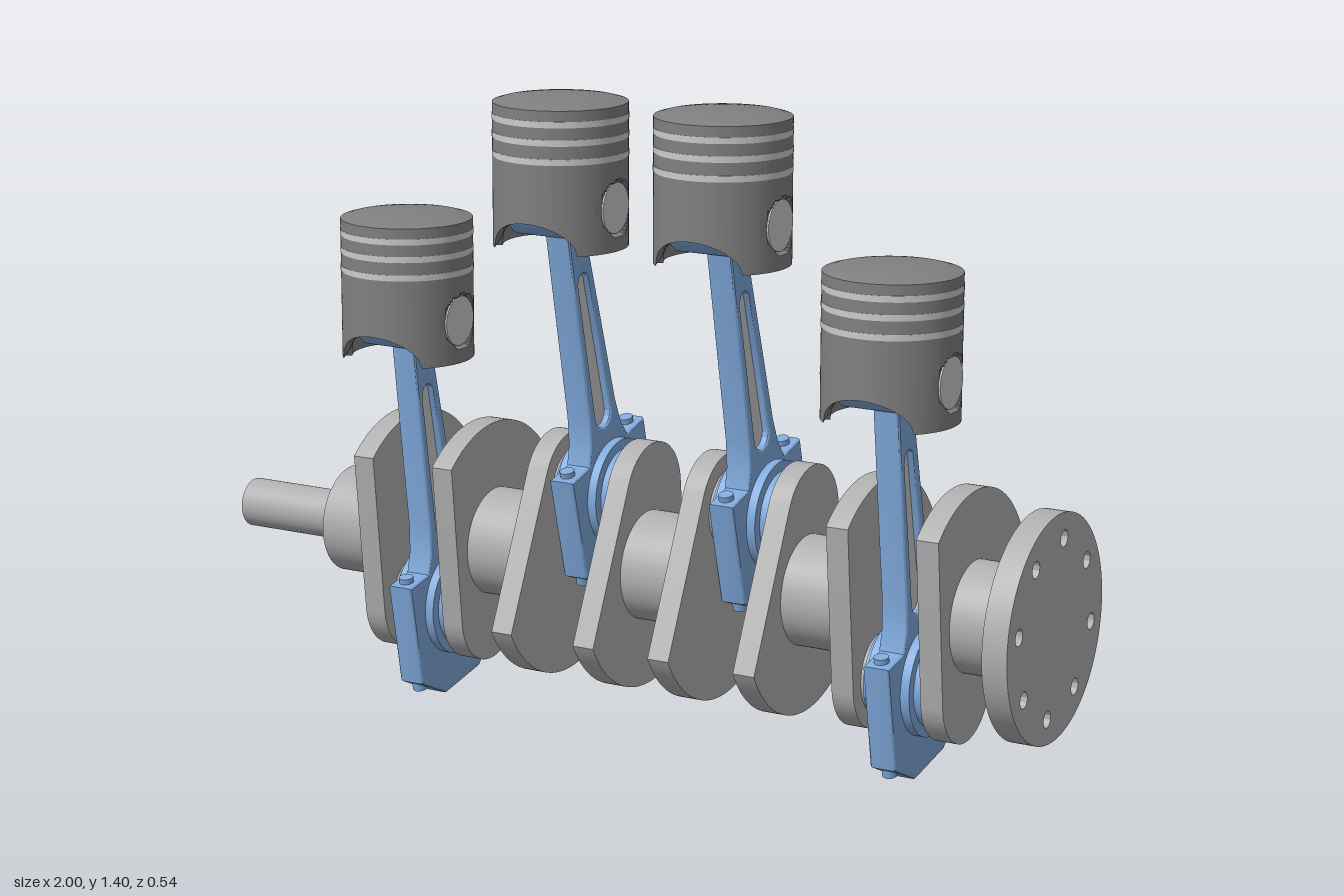
import * as THREE from 'three';
import { toCreasedNormals } from 'three/addons/utils/BufferGeometryUtils.js';

const material = (color) => new THREE.MeshStandardMaterial({ color });
const LIGHT = material(0xcccccc);
const STEEL = material(0xb0b0b0);
const DARK = material(0x808080);
const BLUE = material(0x80aadd);

const AXIS_Y = 0.36, AXIS_Z = -0.025;   // crankshaft centre line
const THROW = 0.149, TILT = 0.168;      // crank radius and its lean
const ROD = 0.686, BORE_Z = 0.125;      // rod length and piston line
const PIN_Y = 0.09;                     // wrist pin height in the piston
const CYLINDERS = [
  { x: -0.473, high: false }, { x: -0.085, high: true },
  { x: 0.302, high: true }, { x: 0.69, high: false },
];

function add(parent, name, geometry, mat, x = 0, y = 0, z = 0) {
  const mesh = new THREE.Mesh(geometry, mat);
  mesh.name = name;
  mesh.position.set(x, y, z);
  parent.add(mesh);
  return mesh;
}

// Cylinder lying along x between two positions
function bar(parent, name, r, x0, x1, mat, y = 0, z = 0) {
  const g = new THREE.CylinderGeometry(r, r, x1 - x0, 64).rotateZ(Math.PI / 2);
  return add(parent, name, g, mat, (x0 + x1) / 2, y, z);
}

// Plate drawn in (z, y), extruded along x and centred on x = 0
function plate(shape, width, bevel = 0) {
  const g = new THREE.ExtrudeGeometry(shape, {
    depth: width - 2 * bevel, curveSegments: 40, bevelEnabled: bevel > 0,
    bevelThickness: bevel, bevelSize: bevel, bevelOffset: -bevel, bevelSegments: 3,
  });
  g.translate(0, 0, bevel - width / 2).rotateY(-Math.PI / 2);
  return toCreasedNormals(g, 0.5);
}

// Crank web: counterweight arc above, rounded end around the crankpin below
function webGeometry() {
  const R = 0.27, r = 0.12, start = 0.668;
  const cx = R * Math.cos(start), cy = R * Math.sin(start) + THROW;
  const tangent = Math.atan2(cy, -cx) + Math.acos(r / Math.hypot(cx, cy));
  const s = new THREE.Shape();
  s.absarc(0, 0, R, start, Math.PI - start, false);
  s.absarc(0, -THROW, r, tangent, 3 * Math.PI - tangent, false);
  s.closePath();
  return plate(s, 0.05);
}

// Output flange with a ring of bolt holes
function flangeGeometry() {
  const s = new THREE.Shape().absarc(0, 0, 0.243, 0, Math.PI * 2, false);
  for (let i = 0; i < 8; i++) {
    const a = (i / 8) * Math.PI * 2;
    s.holes.push(new THREE.Path().absarc(0.188 * Math.cos(a), 0.188 * Math.sin(a), 0.018, 0, Math.PI * 2, true));
  }
  return plate(s, 0.055);
}

// Rod outline: cap, bolt ears, then a tapering shank with a slot
function rodGeometry() {
  const half = [[0.07, -0.2], [0.16, -0.135], [0.16, 0.1], [0.085, 0.1],
    [0.067, 0.14], [0.057, 0.2], [0.047, 0.4], [0.034, 0.64]];
  const outline = [...half, ...half.map(([u, v]) => [-u, v]).reverse()];
  const s = new THREE.Shape(outline.map(([u, v]) => new THREE.Vector2(u, v)));
  const slot = new THREE.Path();
  slot.absarc(0, 0.19, 0.031, 0, Math.PI, true);
  slot.absarc(0, 0.5, 0.022, Math.PI, 0, true);
  slot.closePath();
  s.holes.push(slot);
  return plate(s, 0.06, 0.008);
}

// Hollow piston with arched skirt cut-outs and flats at the wrist pin
function pistonGeometry() {
  const pts = [[0, 0.2], [0.122, 0.2], [0.122, 0.1], [0.122, 0]];
  for (let i = 0; i <= 50; i++) pts.push([0.143, i * 0.0061]);
  for (let i = 1; i <= 8; i++) {
    const r = 0.143 * (1 - i / 8);
    pts.push([r, 0.307 + 0.013 * (1 - (r / 0.143) ** 2)]);
  }
  const g = new THREE.LatheGeometry(pts.map((p) => new THREE.Vector2(...p)), 128);
  const pos = g.attributes.position;
  for (let i = 0; i < pos.count; i++) {
    const x = pos.getX(i), y = pos.getY(i), z = pos.getZ(i);
    const arch = 0.066 * Math.sqrt(Math.max(0, 1 - (x / 0.1) ** 2));
    if (y < arch) pos.setY(i, arch);
    if (Math.hypot(z, y - PIN_Y) < 0.058 && Math.abs(x) > 0.13) pos.setX(i, Math.sign(x) * 0.13);
  }
  return toCreasedNormals(g, 0.5);
}

function buildCrankshaft() {
  const crank = new THREE.Group();
  crank.name = 'crankshaft';
  crank.position.set(0, AXIS_Y, AXIS_Z);
  bar(crank, 'shaftNose', 0.055, -1, -0.72, STEEL);
  // Main journals fill the gaps between the throws
  const edges = [-0.73, ...CYLINDERS.flatMap(({ x }) => [x - 0.1, x + 0.1]), 0.96];
  for (let i = 0; i < edges.length; i += 2) bar(crank, 'mainJournal', 0.12, edges[i], edges[i + 1], STEEL);
  const web = webGeometry();
  for (const { x, high } of CYLINDERS) {
    const crankThrow = new THREE.Group();
    crankThrow.name = 'crankThrow';
    crankThrow.position.x = x;
    crankThrow.rotation.x = -TILT + (high ? Math.PI : 0);
    for (const side of [-1, 1]) add(crankThrow, 'crankWeb', web, STEEL, side * 0.102);
    bar(crankThrow, 'crankpin', 0.085, -0.09, 0.09, STEEL, -THROW);
    crank.add(crankThrow);
  }
  add(crank, 'outputFlange', flangeGeometry(), STEEL, 0.9725).rotation.x = -TILT;
  return crank;
}

function buildRod(geometry) {
  const rod = new THREE.Group();
  rod.name = 'connectingRod';
  add(rod, 'rodBody', geometry, BLUE);
  add(rod, 'rodWeb', new THREE.BoxGeometry(0.026, 0.37, 0.064), LIGHT, 0, 0.342);
  bar(rod, 'bearingCollar', 0.118, -0.05, 0.05, BLUE);
  bar(rod, 'bearingShell', 0.096, -0.066, 0.066, BLUE);
  bar(rod, 'smallEnd', 0.075, -0.092, 0.092, BLUE, ROD);
  for (const side of [-1, 1]) {
    add(rod, 'rodBolt', new THREE.CylinderGeometry(0.016, 0.016, 0.276, 20), BLUE, 0, -0.026, side * 0.13);
  }
  return rod;
}

function buildPiston(geometry) {
  const piston = new THREE.Group();
  piston.name = 'piston';
  add(piston, 'pistonBody', geometry, DARK);
  for (const y of [0.198, 0.238, 0.276]) {
    add(piston, 'pistonRing', new THREE.CylinderGeometry(0.1438, 0.1438, 0.013, 96), LIGHT, 0, y);
  }
  bar(piston, 'wristPin', 0.054, -0.134, 0.134, LIGHT, PIN_Y);
  return piston;
}

export function createModel() {
  const model = new THREE.Group();
  model.name = 'crankshaftAssembly';
  model.add(buildCrankshaft());
  const rodGeo = rodGeometry(), pistonGeo = pistonGeometry();
  for (const { x, high } of CYLINDERS) {
    const s = high ? -1 : 1;
    const y = AXIS_Y - s * THROW * Math.cos(TILT);
    const z = AXIS_Z + s * THROW * Math.sin(TILT);
    const lean = Math.asin((BORE_Z - z) / ROD);
    const rod = buildRod(rodGeo);
    rod.position.set(x, y, z);
    rod.rotation.x = lean;
    const piston = buildPiston(pistonGeo);
    piston.position.set(x, y + ROD * Math.cos(lean) - PIN_Y, BORE_Z);
    model.add(rod, piston);
  }
  return model;
}
